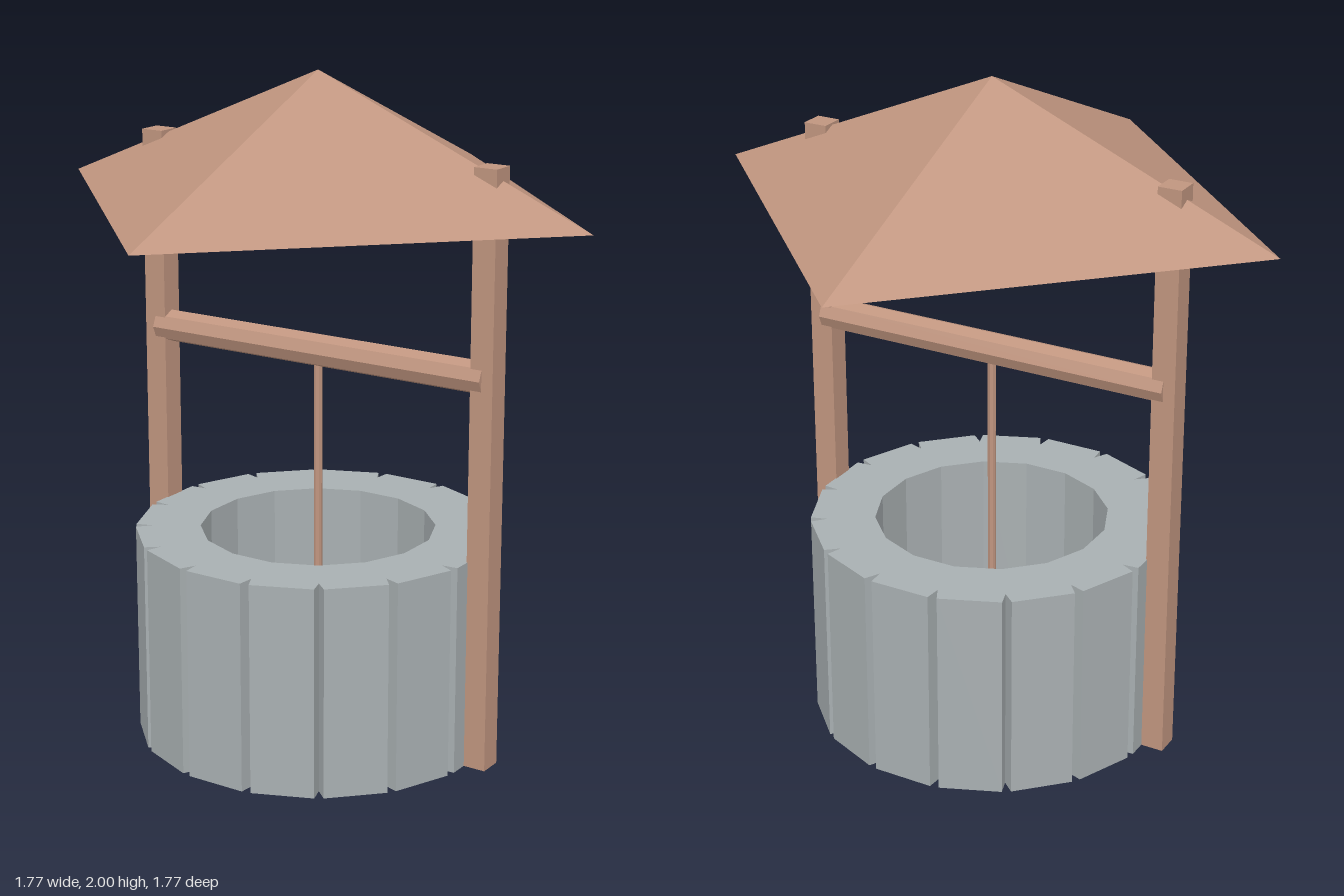
import * as THREE from 'three';

const wood = new THREE.MeshStandardMaterial({ color: 0xc0957f });
wood.name = 'wood';
const stone = new THREE.MeshStandardMaterial({ color: 0xa9b0b2 });
stone.name = 'stone';

const STAVES = 16;
const STEP = (Math.PI * 2) / STAVES;

function addMesh(parent, name, geometry, material, x = 0, y = 0, z = 0) {
  // Unshared vertices give crisp facets
  const flat = geometry.index ? geometry.toNonIndexed() : geometry;
  flat.computeVertexNormals();
  const mesh = new THREE.Mesh(flat, material);
  mesh.name = name;
  mesh.position.set(x, y, z);
  parent.add(mesh);
  return mesh;
}

// Ring of flat stones separated by V-shaped grooves, open through the middle
function wellWall() {
  const face = 0.537, half = 0.093, grooveRadius = 0.497, innerRadius = 0.352, height = 0.635;
  const outline = [], inner = [];
  const polar = (r, a) => new THREE.Vector2(r * Math.cos(a), r * Math.sin(a));
  const edgeRadius = Math.hypot(face, half), edgeAngle = Math.atan2(half, face);
  for (let i = 0; i < STAVES; i++) {
    const a = i * STEP;
    outline.push(
      polar(edgeRadius, a - edgeAngle),
      polar(edgeRadius, a + edgeAngle),
      polar(grooveRadius, a + STEP / 2)
    );
    inner.push(polar(innerRadius, a + STEP / 2));
  }
  const shape = new THREE.Shape(outline);
  shape.holes.push(new THREE.Path(inner.reverse()));
  const geometry = new THREE.ExtrudeGeometry(shape, { depth: height, bevelEnabled: false });
  return geometry.rotateX(-Math.PI / 2);
}

export function createModel() {
  const well = new THREE.Group();
  well.name = 'well';

  addMesh(well, 'stoneWall', wellWall(), stone);

  // Posts run up through the roof ridges
  for (const [side, name] of [[1, 'leftPost'], [-1, 'rightPost']]) {
    addMesh(well, name, new THREE.BoxGeometry(0.072, 1.78, 0.072), wood, side * 0.57, 0.89, 0);
  }

  // Octagonal winding beam between the posts
  const beam = new THREE.CylinderGeometry(0.049, 0.049, 1.14, 8).rotateZ(Math.PI / 2);
  addMesh(well, 'windingBeam', beam, wood, 0, 1.178, 0);

  // Rope hanging into the well
  const ropeTop = 1.16, ropeBottom = 0.35;
  const rope = new THREE.CylinderGeometry(0.013, 0.013, ropeTop - ropeBottom, 8);
  addMesh(well, 'rope', rope, wood, 0, (ropeTop + ropeBottom) / 2, 0);

  // Four-sided roof with its corners on the axes and a closed underside
  addMesh(well, 'roof', new THREE.ConeGeometry(0.885, 0.375, 4), wood, 0, 1.8125, 0);

  return well;
}
